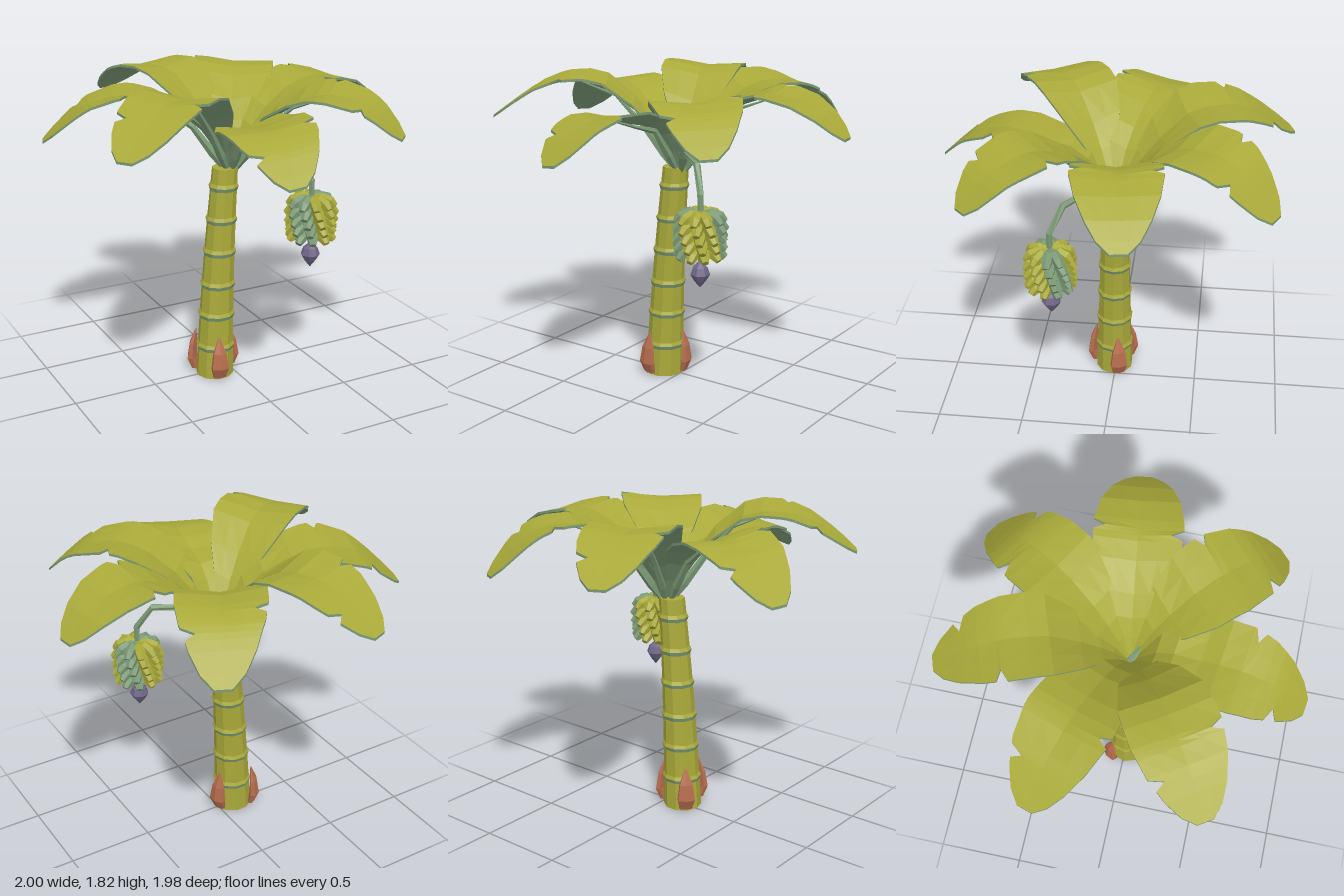
import * as THREE from 'three';
import { mergeGeometries } from 'three/addons/utils/BufferGeometryUtils.js';

const V = (x, y, z) => new THREE.Vector3(x, y, z);
const rad = THREE.MathUtils.degToRad;

function toGeometry(pos, idx) {
  const g = new THREE.BufferGeometry();
  g.setAttribute('position', new THREE.Float32BufferAttribute(pos, 3));
  g.setIndex(idx);
  const flat = g.toNonIndexed();
  flat.computeVertexNormals();
  return flat;
}

// Capped tube through rings of [x, y, z, radius]
function loft(rings, sides, upright = false) {
  const pos = [], idx = [], n = rings.length;
  const pts = rings.map(r => V(r[0], r[1], r[2]));
  rings.forEach((r, i) => {
    const t = upright ? V(0, 1, 0)
      : pts[Math.min(i + 1, n - 1)].clone().sub(pts[Math.max(i - 1, 0)]).normalize();
    const a = V(0, 0, 1).cross(t).normalize(), b = t.clone().cross(a);
    for (let k = 0; k < sides; k++) {
      const w = k / sides * Math.PI * 2;
      const p = pts[i].clone().addScaledVector(a, Math.cos(w) * r[3]).addScaledVector(b, Math.sin(w) * r[3]);
      pos.push(p.x, p.y, p.z);
    }
  });
  const c0 = n * sides, c1 = c0 + 1, last = (n - 1) * sides;
  for (const p of [pts[0], pts[n - 1]]) pos.push(p.x, p.y, p.z);
  for (let k = 0; k < sides; k++) {
    const m = (k + 1) % sides;
    for (let i = 0; i < n - 1; i++) {
      const a = i * sides + k, b = i * sides + m;
      idx.push(a, b, a + sides, b, b + sides, a + sides);
    }
    idx.push(c0, m, k, c1, last + k, last + m);
  }
  return toGeometry(pos, idx);
}

// Piecewise linear lookup in [[x, y], ...]
function lookup(table, x) {
  let i = 1;
  while (i < table.length - 1 && x > table[i][0]) i++;
  const [x0, y0] = table[i - 1], [x1, y1] = table[i];
  return y0 + (y1 - y0) * THREE.MathUtils.clamp((x - x0) / (x1 - x0), 0, 1);
}

const WIDTH = [[0, 0.02], [0.03, 0.03], [0.08, 0.055], [0.15, 0.1], [0.25, 0.17], [0.4, 0.23], [0.58, 0.245],
  [0.75, 0.215], [0.87, 0.165], [0.95, 0.11], [1, 0.045]];
const LIFT = [[0, 0], [0.08, 0.015], [0.2, 0.045], [0.55, 0.03], [0.8, 0.005], [1, 0]];
const ACROSS = [-1, -0.5, 0, 0.5, 1];

// One leaf: angle, length, peak height, tip height, notch distances on the two sides, sideways tilt
function leafParts([angle, R, peak, tip, notchA, notchB, tilt]) {
  const P = peak - 0.025;
  const curve = new THREE.SplineCurve([[0.02, 1.28], [0.09, 1.41], [0.2, 1.55], [0.38, P - 0.055],
    [0.57, P], [0.8, P - 0.04], [R, tip]].map(p => new THREE.Vector2(...p)));
  const path = curve.getPoints(36).map(p => [p.x, p.y]);
  const stations = [0.015, 0.08, 0.15, 0.25, 0.4, 0.5, 0.62, 0.75, 0.87, 0.95, 1].map(s => s * R);
  for (const n of [notchA, notchB]) stations.push(n - 0.03, n, n + 0.03);
  stations.sort((a, b) => a - b);
  const c = Math.cos(rad(angle)), s = Math.sin(rad(angle));
  const place = (r, y, w) => [c * r - s * w, y, s * r + c * w];
  const cols = ACROSS.length, pos = [], low = [];
  for (const r of stations) {
    for (const u of ACROSS) {
      const notch = u > 0 ? notchA : notchB;
      const cut = Math.max(0, 1 - Math.abs(r - notch) / 0.03) * 0.065 * Math.abs(u);
      const w = u * lookup(WIDTH, r / R) - Math.sign(u) * cut;
      const y = lookup(path, r) + Math.abs(u) * lookup(LIFT, r / R) - tilt * w;
      pos.push(...place(r, y, w));
      low.push(...place(r, y - 0.014, w));
    }
  }
  const up = [], down = [], rows = stations.length, off = rows * cols;
  for (let i = 0; i < rows - 1; i++) {
    for (let j = 0; j < cols - 1; j++) {
      const a = i * cols + j, b = a + 1, d = a + cols, e = d + 1;
      up.push(a, b, d, b, e, d);
      down.push(off + a, off + d, off + b, off + b, off + d, off + e);
    }
    const a = i * cols, d = a + cols, b = a + cols - 1, e = d + cols - 1;
    down.push(a, d, off + a, d, off + d, off + a, b, off + b, e, e, off + b, off + e);
  }
  for (let j = 0; j < cols - 1; j++) {
    const a = (rows - 1) * cols + j;
    down.push(a, a + 1, off + a, a + 1, off + a + 1, off + a);
  }
  // Stalk below the blade, fading into the midrib
  const rib = [[0.02, 0.012], [0.08, 0.026], [0.2, 0.019], [0.36, 0.01], [0.55, 0.004]]
    .map(([r, t]) => [...place(r + t * 0.7, lookup(path, r) - 0.014 - t * 0.8, 0), t]);
  return { top: toGeometry(pos, up), under: toGeometry([...pos, ...low], down), rib: loft(rib, 5) };
}

export function createModel() {
  const model = new THREE.Group();
  const mat = (name, color) => {
    const m = new THREE.MeshStandardMaterial({ color, flatShading: true });
    m.name = name;
    return m;
  };
  const yellow = mat('yellow green', 0xa9a93a);
  const green = mat('grey green', 0x7c9a76);
  const red = mat('terracotta', 0xb46c4e);
  const purple = mat('dusky purple', 0x706688);
  const add = (name, geometries, material) => {
    const m = new THREE.Mesh(mergeGeometries([geometries].flat()), material);
    m.name = name;
    model.add(m);
  };

  // Leaning trunk
  const trunkAt = (y, extra = 0) =>
    [-0.11 + 0.03 * y + 0.024 * y * y, y, 0.01 * (1 - y / 1.28), 0.112 - 0.029 * y + extra];
  add('trunk', loft([0, 0.2, 0.4, 0.6, 0.8, 1, 1.28].map(y => trunkAt(y)), 10, true), yellow);

  // Trunk rings, green below and yellow above
  const ringYs = [0.19, 0.39, 0.58, 0.78, 0.975, 1.17];
  add('ringUndersides', ringYs.map(y => loft([trunkAt(y - 0.022, 0.002), trunkAt(y, 0.01)], 10, true)), green);
  add('ringTops', ringYs.map(y => loft([trunkAt(y, 0.01), trunkAt(y + 0.02, 0.001)], 10, true)), yellow);

  // Young shoots around the base
  const shoots = [103, -17, -137].map(deg => {
    const g = loft([[-0.02, 0.02, 0, 0.042], [0.02, 0.085, 0, 0.058], [0.005, 0.18, 0, 0.044],
      [-0.03, 0.27, 0, 0.006]], 6, true);
    g.scale(0.5, 1, 1);
    g.translate(0.13, 0, 0);
    g.rotateY(-rad(deg));
    return g.translate(-0.11, 0, 0.01);
  });
  add('baseShoots', shoots, red);

  // Crown of seven leaves
  const leaves = [
    [-7.4, 1.0, 1.76, 1.54, 0.53, 0.57, 0],
    [-60, 1.03, 1.775, 1.5, 0.82, 0.7, 0.06],
    [-110, 1.045, 1.81, 1.59, 0.88, 0.68, 0.03],
    [-161, 1.05, 1.74, 1.48, 0.85, 0.6, 0.06],
    [147, 1.06, 1.81, 1.58, 0.83, 0.67, 0.02],
    [98, 0.99, 1.67, 1.45, 0.83, 0.65, 0.13],
    [47, 0.99, 1.765, 1.54, 0.78, 0.57, 0.04],
  ].map(leafParts);
  add('leafTops', leaves.map(l => l.top), yellow);
  add('leafUndersides', leaves.map(l => l.under), green);
  add('leafStalks', leaves.map(l => l.rib), green);

  // Hanging fruit stalk
  const fx = 0.355, fz = 0.32;
  add('fruitStalk', loft([[-0.02, 1.29, 0, 0.02], [0.09, 1.39, 0.08, 0.021], [0.285, 1.37, 0.25, 0.02],
    [fx, 1.23, fz, 0.019], [fx, 1.1, fz, 0.017], [fx, 0.82, fz, 0.012]], 6), green);

  // Fruit fingers in five spiralling tiers, drooping outwards
  const ripe = [], unripe = [];
  for (let tier = 0; tier < 5; tier++) {
    const out = [0.92, 1, 1, 0.98, 0.94][tier];
    for (let k = 0; k < 10; k++) {
      const y = 1.115 - tier * 0.049;
      const g = loft([[0.01, y + 0.012, 0, 0.018], [0.065 * out, y + 0.013, 0, 0.03],
        [0.115 * out, y - 0.005, 0, 0.033], [0.145 * out, y - 0.032, 0, 0.02]], 6);
      g.rotateY(-rad(k * 36 - tier * 7));
      g.translate(fx, 0, fz);
      ([0, 4, 5, 9].includes(k) ? unripe : ripe).push(g);
    }
  }
  add('ripeFruit', ripe, yellow);
  add('unripeFruit', unripe, green);

  // Flower bud below the bunch
  add('flowerBud', loft([[fx, 0.71, fz, 0.003], [fx, 0.75, fz, 0.035], [fx, 0.785, fz, 0.056],
    [fx, 0.825, fz, 0.042], [fx, 0.85, fz, 0.015]], 7), purple);

  return model;
}
